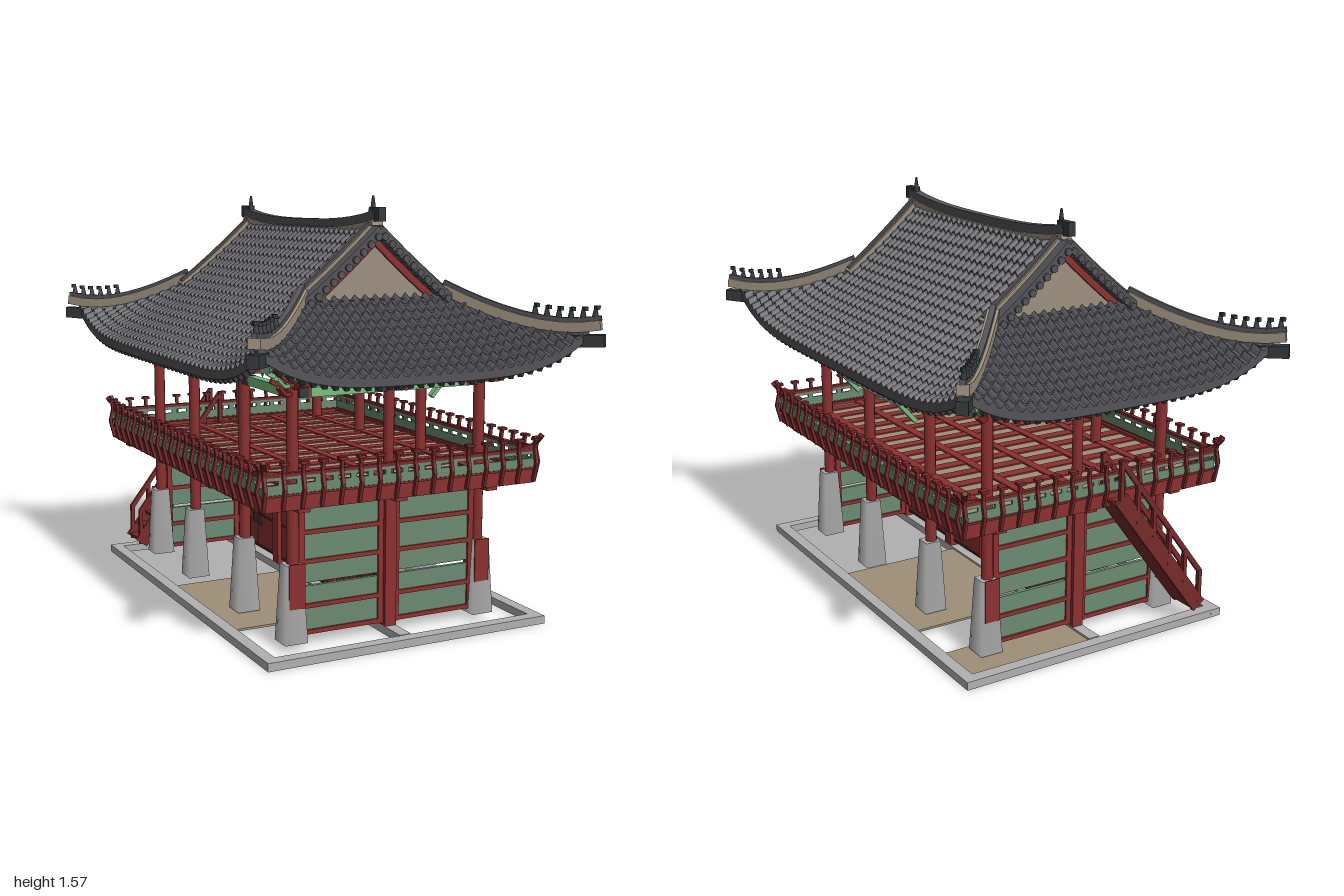
import * as THREE from 'three';
import { mergeGeometries } from 'three/addons/utils/BufferGeometryUtils.js';

const mat = (name, color, side = THREE.FrontSide) => Object.assign(new THREE.MeshStandardMaterial({ color, side }), { name });
const V = (x, y, z) => new THREE.Vector3(x, y, z);
const box = (w, h, d, x, y, z) => new THREE.BoxGeometry(w, h, d).translate(x, y, z);
const cyl = (r1, r2, h, x, y, z, n = 10) => new THREE.CylinderGeometry(r1, r2, h, n).translate(x, y, z);
const range = (a, b, n) => Array.from({ length: n + 1 }, (_, i) => a + (b - a) * i / n);
const S = [-1, 1];
const corners = fn => S.flatMap(sx => S.flatMap(sz => fn(sx, sz)));
// box running from a to b
function bar(a, b, w, h) {
  const o = new THREE.Object3D();
  o.position.copy(a).add(b).multiplyScalar(0.5);
  o.lookAt(b);
  o.updateMatrix();
  return new THREE.BoxGeometry(w, h, a.distanceTo(b) + 0.004).applyMatrix4(o.matrix);
}
const chain = (p, w, h) => p.slice(1).map((q, i) => bar(p[i], q, w, h));
// grid surface from a rule
function surf(fn, us, nv) {
  const rows = us.map(u => range(0, nv, nv).map(j => fn(u, j))), pts = [];
  for (let i = 0; i < us.length - 1; i++) for (let j = 0; j < nv; j++) {
    const [a, b, c, d] = [rows[i][j], rows[i + 1][j], rows[i + 1][j + 1], rows[i][j + 1]];
    pts.push(a, b, c, a, c, d);
  }
  const g = new THREE.BufferGeometry().setFromPoints(pts);
  g.computeVertexNormals();
  return g;
}
// repeats a part designed facing +z around the four sides of a rectangle
const ring = (fn, hx, hz) => [0, 1, 2, 3].flatMap(k =>
  (k % 2 ? fn(hz, hx) : fn(hx, hz)).map(g => g.rotateY(k * Math.PI / 2)));
const deckRing = fn => ring(fn, 0.545, 0.77), wallRing = fn => ring(fn, 0.38, 0.655);

// roof shape: d runs from the ridge (0) to the eave (1)
const EX = 0.64, HIP = 0.453, GZ = 0.55;
const slope = d => 1.45 - 0.48 * (1.25 * d - 0.25 * d * d);
const endD = z => Math.max(0, HIP + (1 - HIP) * (Math.abs(z) - GZ) / 0.4);
const endZ = d => GZ + 0.4 * (d - HIP) / (1 - HIP);
const lift = (a, b) => 0.12 * Math.min(a, b) ** 4;
const sidePt = (s, d, z, o = 0) => V(s * EX * d, slope(d) + lift(d, endD(z)) + o, z);
const endPt = (s, d, x, o = 0) => V(x, slope(d) + lift(d, Math.abs(x) / EX) + o, s * endZ(d));
const hipPt = (sx, sz, d, o) => V(sx * EX * d, slope(d) + lift(d, d) + o, sz * endZ(d));
const sideStart = z => Math.abs(z) > GZ ? endD(z) : 0;
const endStart = x => Math.max(HIP, Math.abs(x) / EX);

export function createModel() {
  const M = {
    tile: mat('roof tile', 0x545359, THREE.DoubleSide), plaster: mat('plaster', 0x9c8f7f),
    red: mat('red paint', 0x8c3030), dark: mat('dark red paint', 0x782a2b),
    green: mat('panel green', 0x6a8a72), bright: mat('bright green', 0x79bd80),
    stone: mat('stone', 0xb0b0b0), iron: mat('iron', 0x36393c),
    soil: mat('packed earth', 0x9f8f78), wood: mat('rafter wood', 0x7c4a3c, THREE.DoubleSide),
  };
  const model = new THREE.Group();
  const part = (name, m, geos) => {
    const flat = geos.map(g => (g.index ? g.toNonIndexed() : g).deleteAttribute('uv'));
    const mesh = new THREE.Mesh(mergeGeometries(flat), M[m]);
    mesh.name = name;
    model.add(mesh);
  };
  const colZ = [-0.655, -0.25, 0.25, 0.655];
  const colsOf = half => half > 0.5 ? colZ : [-0.38, 0, 0.38];
  // ground frame and earth floor
  part('groundFrame', 'stone', [box(0.045, 0.03, 1.57, 0, 0.015, 0), ...S.flatMap(s =>
    [box(0.045, 0.03, 1.67, 0.005 + s * 0.54, 0.015, 0), box(1.04, 0.03, 0.045, 0.005, 0.015, s * 0.812)])]);
  part('earthFloor', 'soil', [box(0.5, 0.008, 0.6, 0.27, 0.018, -0.09), box(0.5, 0.008, 0.19, 0.27, 0.018, -0.69),
    box(0.5, 0.008, 0.6, -0.27, 0.018, 0.15)]);
  // stone column bases, columns and the posts in front of the corner bases
  part('columnBases', 'stone', colZ.flatMap(z => S.map(s =>
    new THREE.CylinderGeometry(0.042, 0.062, 0.28, 4, 1).rotateY(Math.PI / 4).translate(s * 0.385, 0.165, z))));
  part('columns', 'red', [
    ...colZ.flatMap(z => [box(0.046, 0.5, 0.05, 0, 0.28, z), ...S.map(s => cyl(0.022, 0.022, 0.78, s * 0.38, 0.68, z))]),
    ...corners((sx, sz) => [box(0.06, 0.16, 0.005, sx * 0.38, 0.23, sz * 0.692)]),
    ...S.map(s => cyl(0.02, 0.02, 0.45, 0, 0.73, s * 0.655))]);
  // panelled end walls
  part('endWallFrames', 'red', corners((sx, sz) => [
    ...[0.05, 0.145, 0.305, 0.41, 0.505].map(y => box(0.33, 0.016, 0.03, sx * 0.19, y, sz * 0.65)),
    ...S.map(e => box(0.022, 0.47, 0.03, sx * 0.19 + e * 0.158, 0.275, sz * 0.65))]));
  part('endWallPanels', 'green', corners((sx, sz) =>
    [[0.058, 0.137], [0.153, 0.216], [0.228, 0.297], [0.313, 0.402], [0.418, 0.497]].map(([a, b]) =>
      box(0.3, b - a, 0.014, sx * 0.19, (a + b) / 2, sz * 0.65))));
  // three pairs of doors on the centre line
  const leaves = [], studs = [];
  for (const [c, w] of [[-0.452, 0.35], [0, 0.44], [0.452, 0.35]]) for (const e of S) {
    const z = c + e * w / 4;
    leaves.push(box(0.02, 0.45, w / 2 - 0.006, 0, 0.275, z));
    for (const y of [0.06, 0.2, 0.34, 0.485]) for (const k of range(-0.42, 0.42, 10))
      studs.push(box(0.03, 0.007, 0.007, 0, y, z + k * w / 2));
    studs.push(box(0.034, 0.04, 0.018, 0, 0.175, c + e * 0.03), box(0.034, 0.012, 0.03, 0, 0.16, c + e * 0.032));
  }
  part('doors', 'red', leaves);
  part('doorStuds', 'iron', studs);
  // upper deck
  part('deckBeams', 'red', [
    ...deckRing((h, d) => [box(2 * h, 0.055, 0.02, 0, 0.55, d - 0.01)]),
    ...[-0.38, 0, 0.38].map(x => box(0.045, 0.05, 1.5, x, 0.53, 0)),
    ...colZ.map(z => box(1.06, 0.05, 0.045, 0, 0.532, z)), box(1.07, 0.012, 1.52, 0, 0.55, 0),
    ...[-0.38, -0.19, 0, 0.19, 0.38].map(x => box(0.035, 0.02, 1.5, x, 0.562, 0)),
    ...range(-0.7, 0.7, 14).map(z => box(1.06, 0.012, 0.045, 0, 0.564, z))]);
  part('deckJoists', 'dark', [-0.47, -0.28, -0.19, -0.1, 0.1, 0.19, 0.28, 0.47].map(x => box(0.025, 0.016, 1.5, x, 0.538, 0)));
  part('deckPlanks', 'soil', [box(1.07, 0.006, 1.52, 0, 0.562, 0)]);
  // railing with curved balusters
  part('railPanels', 'green', deckRing((h, d) => [
    box(2 * h, 0.036, 0.008, 0, 0.597, d), box(2 * h, 0.012, 0.012, 0, 0.636, d),
    ...range(-h, h, Math.round(h / 0.035)).map(x => box(0.022, 0.03, 0.008, x, 0.624, d))]));
  part('railing', 'dark', deckRing((h, d) => [
    box(2 * h, 0.012, 0.018, 0, 0.648, d), box(2 * h, 0.008, 0.014, 0, 0.578, d),
    ...range(-h, h, Math.round(h / 0.036)).flatMap(x => [box(0.03, 0.01, 0.024, x, 0.688, d + 0.016),
      ...chain([V(x, 0.53, d + 0.004), V(x, 0.6, d + 0.022), V(x, 0.65, d + 0.01), V(x, 0.685, d + 0.014)], 0.012, 0.012)]),
    ...S.flatMap(s => chain([V(s * (h - 0.06), 0.65, d), V(s * h, 0.66, d), V(s * (h + 0.03), 0.7, d + 0.01)], 0.016, 0.016))]));
  // staircase behind the back wall
  const run = (z, dx, dy, w, h) => bar(V(-0.46 + dx, 0.06 + dy, z), V(-0.08 + dx, 0.56 + dy, z), w, h);
  part('staircase', 'dark', [run(-0.76, 0.035, 0, 0.11, 0.008),
    ...[-0.705, -0.815].flatMap(z => [run(z, 0, 0, 0.015, 0.06), run(z, 0, 0.14, 0.015, 0.018),
      ...range(0, 1, 5).map(t => box(0.016, 0.15, 0.016, -0.46 + 0.38 * t, 0.13 + 0.5 * t, z))]),
    ...range(0.03, 0.97, 10).map(t => box(0.05, 0.012, 0.1, -0.46 + 0.38 * t, 0.06 + 0.5 * t, -0.76))]);
  // lintels and brackets below the eaves
  const bays = half => colsOf(half).slice(1).map((b, i) => [colsOf(half)[i], b]);
  const lintel = (w, h, at) => wallRing((half, d) => bays(half).flatMap(([a, b]) =>
    at.map(t => box((b - a) * w, h, h, (a + b) / 2 + t * (b - a), 0.902, d))));
  const beam = (h, t, y) => wallRing((half, d) => [box(2 * half, h, t, 0, y, d)]);
  part('lintels', 'bright', [...lintel(0.66, 0.034, [0]), ...beam(0.04, 0.03, 1.0)]);
  part('lintelEnds', 'iron', lintel(0.12, 0.034, [-0.39, 0.39]));
  part('lintelBands', 'red', [...lintel(0.03, 0.036, [-0.34, 0.34]), ...beam(0.06, 0.024, 1.05)]);
  part('flowerBlocks', 'plaster', wallRing((h, d) => bays(h).flatMap(([a, b]) => [0.2, 0.4, 0.6, 0.8].map(t =>
    new THREE.ConeGeometry(0.035, 0.06, 6).rotateX(Math.PI).scale(1, 1, 0.4).translate(a + (b - a) * t, 0.952, d)))));
  const arms = first => wallRing((h, d) => colsOf(h).flatMap(x => [first, first + 2].flatMap(i => {
    const y = 0.925 + 0.028 * i, e = d + 0.04 + 0.012 * i;
    return [...chain([V(x, y, d - 0.06), V(x, y, e), V(x, y + 0.022, e + 0.04)], 0.016, 0.016),
      box(0.08 + 0.025 * i, 0.014, 0.02, x, y + 0.008, d + 0.02)];
  })));
  const wing = i => corners((sx, sz) => chain([[0.38, 0.9, 0.655], [0.43, 0.905, 0.705], [0.48, 0.94, 0.755]].map(([x, y, z], k) =>
    V(sx * (x + 0.01 * i * Math.min(k, 1)), y + 0.03 * i, sz * (z + 0.01 * i))), 0.013, 0.014));
  part('redBrackets', 'red', [...arms(0), ...wing(0), ...wing(2)]);
  part('greenBrackets', 'bright', [...arms(1), ...wing(1)]);
  part('ceilingBeams', 'red', colZ.map(z => box(0.76, 0.05, 0.04, 0, 0.985, z)));
  // tilted board under the eave, with round bosses
  const tilt = g => g.rotateZ(-0.72).translate(0.525, 0.892, 0.01);
  part('signBoard', 'stone', [tilt(box(0.008, 0.15, 0.42, 0.004, 0, 0))]);
  part('signBosses', 'iron', [-0.13, 0, 0.13].map(z => tilt(cyl(0.032, 0.032, 0.006, 0, 0, 0, 7).rotateZ(Math.PI / 2).translate(0.008, 0, z))));
  part('signFrame', 'bright', [tilt(box(0.008, 0.17, 0.45, -0.002, 0, 0)),
    ...[-0.225, 0.245].map(z => bar(V(0.43, 0.78, z), V(0.57, 0.94, z), 0.026, 0.016))]);
  // tiled slopes: ribs across, stepped courses down
  const rib = p => Math.max(0, 0.016 * Math.sin(Math.PI * (p - Math.floor(p) - 0.2) / 0.6));
  const row = (j, d0, n, p) => j === 2 * n ? [1, -0.022] :
    [d0 + (1 - d0) * (Math.floor(j / 2) + j % 2) / n, (j % 2 ? 0.007 : 0) + rib(p)];
  part('tiledRoof', 'tile', S.flatMap(s => [
    surf((z, j) => {
      const [d, o] = row(j, 0, 18, (z + 0.95) / 1.9 * 48);
      return sidePt(s, Math.max(d, sideStart(z)), z, o);
    }, range(-0.95, 0.95, 288), 36),
    surf((x, j) => {
      const [d, o] = row(j, HIP, 10, (x + EX) / (2 * EX) * 31);
      return endPt(s, Math.max(d, endStart(x)), x, o);
    }, range(-EX, EX, 186), 20),
    box(0.56, 0.03, 0.06, 0, 1.185, s * 0.535)]));
  // soffit and rafters
  part('soffit', 'wood', S.flatMap(s => [
    surf((z, j) => sidePt(s, Math.max(j / 12, sideStart(z)) * 0.998, z, -0.024), range(-0.948, 0.948, 80), 12),
    surf((x, j) => endPt(s, Math.max(HIP + (1 - HIP) * j / 8, endStart(x)) * 0.998, x, -0.024), range(-0.638, 0.638, 50), 8)]));
  const rafters = (a, b, w) => S.flatMap(s => [[sidePt, sideStart, 0.86, 42], [endPt, endStart, 0.56, 28]].flatMap(([pt, start, h, n]) =>
    range(-h, h, n).filter(t => start(t) < b - 0.02).map(t => bar(pt(s, Math.max(a, start(t)), t, -0.033), pt(s, b, t, -0.033), w, w))));
  part('rafters', 'red', rafters(0.58, 0.9, 0.015));
  part('rafterBands', 'bright', rafters(0.9, 0.955, 0.017));
  part('rafterEnds', 'iron', rafters(0.955, 0.985, 0.018));
  // gables
  const gable = new THREE.Shape([V(-0.28, 1.18), V(0.28, 1.18), V(0, 1.4)]);
  part('gableWalls', 'plaster', S.map(s =>
    new THREE.ExtrudeGeometry(gable, { depth: 0.02, bevelEnabled: false }).translate(0, 0, s * 0.525 - 0.01)));
  const verge = (y, z, a = 0, b = 0.5) => corners((sx, sz) => [range(a, b, 5).map(d => V(sx * EX * d, slope(d) + y, sz * z))]);
  part('gableBoards', 'red', verge(-0.043, 0.545, 0, 0.45).flatMap(p => chain(p, 0.012, 0.026)));
  part('vergeTiles', 'tile', [
    ...verge(-0.006, 0.568).flatMap(p => chain(p, 0.045, 0.035)),
    ...verge(-0.016, 0.585, 0.02, 0.48).flatMap(p => [...p, ...p.slice(1).map((q, i) => q.clone().lerp(p[i], 0.5))]
      .map(q => cyl(0.014, 0.014, 0.03, 0, 0, 0, 8).rotateX(Math.PI / 2).translate(q.x, q.y, q.z))),
    ...verge(0.034, 0.53).flatMap(p => chain(p, 0.018, 0.014))]);
  part('vergePlaster', 'plaster', verge(0.016, 0.53).flatMap(p => chain(p, 0.036, 0.026)));
  // main ridge and hip ridges: plaster body, narrower tile cap
  const ridge = y => range(-0.56, 0.56, 14).map(z => V(0, y + 0.035 * Math.abs(z / 0.56) ** 3, z));
  const hips = o => corners((sx, sz) => [range(HIP, 1.04, 8).map(d => hipPt(sx, sz, d, o))]);
  part('ridgePlaster', 'plaster', [...chain(ridge(1.437), 0.044, 0.022), ...hips(0.02).flatMap(p => chain(p, 0.042, 0.036))]);
  part('ridgeCaps', 'tile', [...chain(ridge(1.462), 0.034, 0.034), ...hips(0.044).flatMap(p => chain(p, 0.02, 0.018))]);
  // roof ornaments, figurines and corner beams
  part('roofOrnaments', 'iron', [
    ...S.flatMap(s => [box(0.03, 0.05, 0.07, 0, 1.5, s * 0.56), cyl(0.004, 0.012, 0.06, 0, 1.535, s * 0.53, 6)]),
    ...corners((sx, sz) => [bar(hipPt(sx, sz, 0.92, -0.03), hipPt(sx, sz, 1.055, -0.038), 0.04, 0.045),
      ...range(0.8, 1.02, 5).map(d => hipPt(sx, sz, d, 0.066)).flatMap(p => [cyl(0.006, 0.013, 0.034, p.x, p.y, p.z, 5),
        box(0.016, 0.014, 0.016, p.x + sx * 0.004, p.y + 0.018, p.z + sz * 0.004)])])]);
  part('cornerBeams', 'green', corners((sx, sz) => [bar(hipPt(sx, sz, 0.6, -0.05), hipPt(sx, sz, 0.93, -0.055), 0.035, 0.04)]));
  return model;
}
